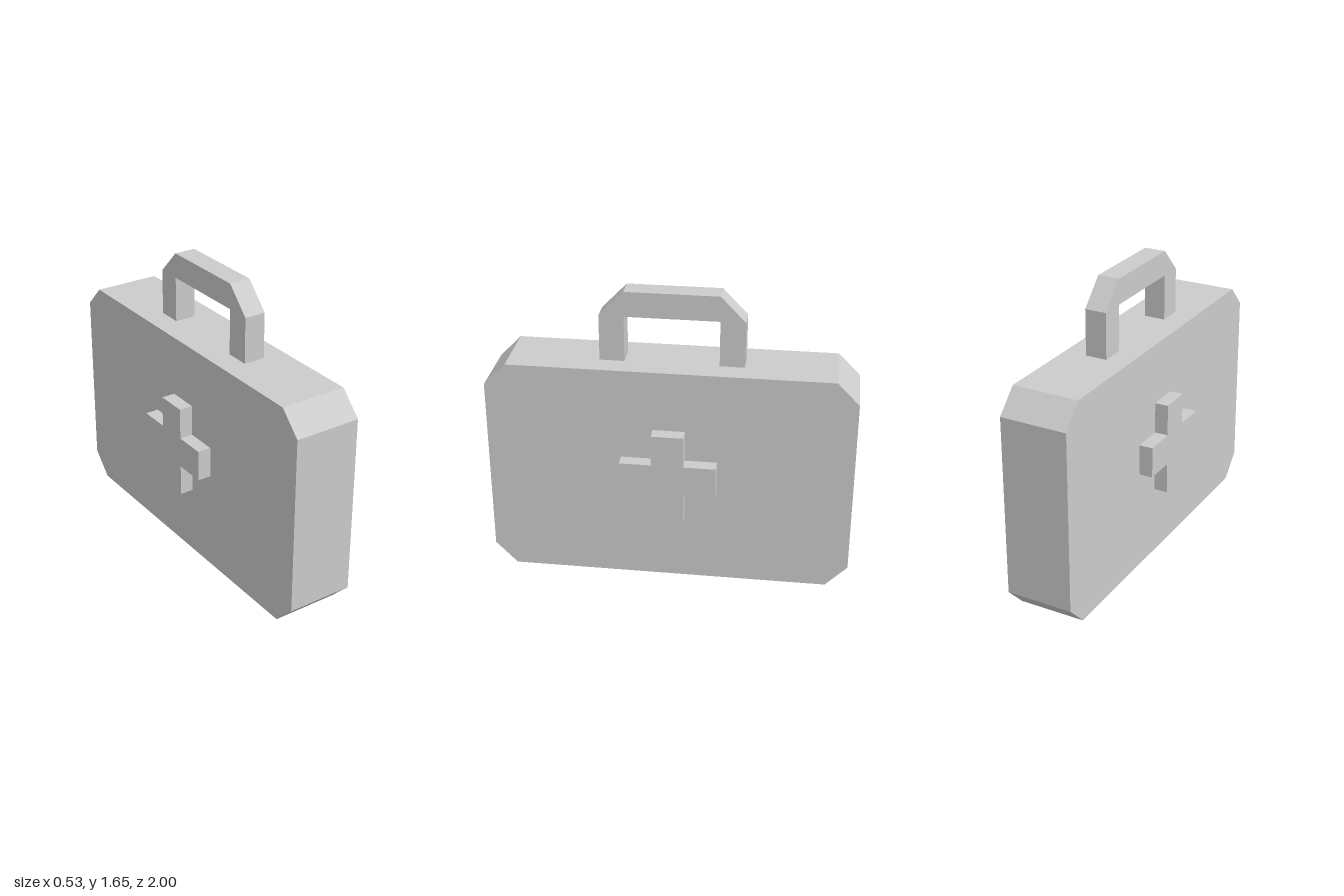
import * as THREE from 'three';

const material = new THREE.MeshStandardMaterial({ color: 0xcccccc, flatShading: true });

// Extrudes a side profile of [z, y] points between two x positions.
function sidePanel(name, points, xMin, xMax) {
  const shape = new THREE.Shape(points.map(([z, y]) => new THREE.Vector2(z, y)));
  const geometry = new THREE.ExtrudeGeometry(shape, { depth: xMax - xMin, bevelEnabled: false });
  geometry.rotateY(-Math.PI / 2);
  geometry.translate(xMax, 0, 0);
  const mesh = new THREE.Mesh(geometry, material);
  mesh.name = name;
  return mesh;
}

// Completes a profile by mirroring its +z half.
const mirrored = (half) => [...half, ...half.map(([z, y]) => [-z, y]).reverse()];

export function createModel() {
  const group = new THREE.Group();
  group.name = 'firstAidCase';

  // Case with chamfered corners
  const bodyHalf = 0.187;
  const body = mirrored([[0.88, 0], [1, 0.125], [1, 1.132], [0.88, 1.255]]);
  group.add(sidePanel('caseBody', body, -bodyHalf, bodyHalf));

  // Carrying handle: an arch with chamfered outer corners
  const handle = mirrored([[0.255, 1.51], [0.255, 1.255], [0.39, 1.255], [0.39, 1.51], [0.255, 1.65]]);
  // Walk the arch as outer half, mirrored outer half, then the inner opening
  group.add(sidePanel('handle', handle, -0.06, 0.06));

  // Raised cross on each broad side
  const arm = 0.263, w = 0.0875, cy = 0.653;
  const cross = mirrored([[w, -arm], [w, -w], [arm, -w], [arm, w], [w, w], [w, arm]])
    .map(([z, y]) => [z, y + cy]);
  group.add(sidePanel('leftCross', cross, bodyHalf, arm));
  group.add(sidePanel('rightCross', cross, -arm, -bodyHalf));

  return group;
}
